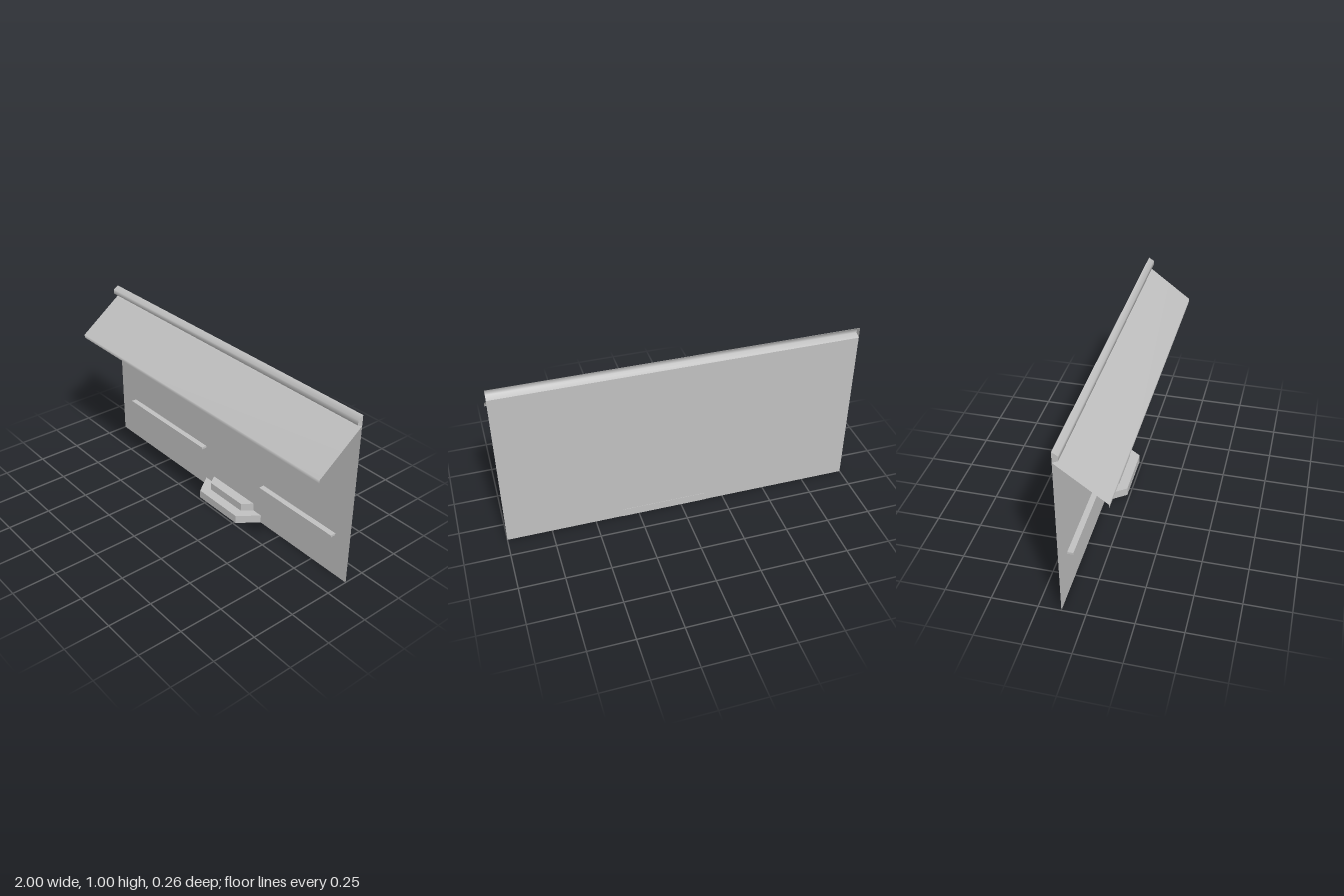
import * as THREE from 'three';

const BACK = -0.128;

export function createModel() {
  const model = new THREE.Group();
  const grey = new THREE.MeshStandardMaterial({ color: 0xc0c0c0, side: THREE.DoubleSide });
  grey.name = 'plain grey';

  const add = (name, geometry, parent = model) => {
    const mesh = new THREE.Mesh(geometry, grey);
    mesh.name = name;
    parent.add(mesh);
    return mesh;
  };

  // Smooth sheet swept across the full width from a [z, y] profile, top to bottom
  const sheet = (profile) => {
    const positions = [];
    const index = [];
    profile.forEach(([z, y], i) => {
      positions.push(-1, y, z, 1, y, z);
      if (i > 0) {
        const a = 2 * (i - 1);
        index.push(a, a + 2, a + 1, a + 1, a + 2, a + 3);
      }
    });
    const g = new THREE.BufferGeometry();
    g.setAttribute('position', new THREE.Float32BufferAttribute(positions, 3));
    g.setIndex(index);
    g.computeVertexNormals();
    return g;
  };

  // Thin wall panel
  add('wall', sheet([[BACK, 0.94], [BACK, 0]]));

  // Sloping awning with a small hanging lip
  add('awning', sheet([[BACK, 0.94], [0.13, 0.748], [0.13, 0.729]]));

  // Top trim: a trough open at the back, closed at both ends
  const trim = new THREE.Group();
  trim.name = 'topTrim';
  model.add(trim);
  const trimProfile = [[BACK, 1], [-0.098, 0.982], [-0.098, 0.955], [BACK, 0.94]];
  add('trimFace', sheet(trimProfile), trim);
  const endShape = new THREE.Shape(trimProfile.map(([z, y]) => new THREE.Vector2(z, y)));
  for (const side of [-1, 1]) {
    const end = new THREE.ShapeGeometry(endShape).rotateY(-Math.PI / 2);
    if (side > 0) {
      // Turn the winding so this end faces outward
      end.index.array.reverse();
      end.computeVertexNormals();
    }
    end.translate(side, 0, 0);
    add(side > 0 ? 'leftTrimEnd' : 'rightTrimEnd', end, trim);
  }

  // Two narrow ledges on the wall
  const ledge = (name, x0, x1, y0, y1) => {
    const g = new THREE.BoxGeometry(x1 - x0, y1 - y0, 0.032);
    add(name, g.translate((x0 + x1) / 2, (y0 + y1) / 2, BACK + 0.016));
  };
  ledge('rightLedge', -0.86, -0.145, 0.258, 0.27);
  ledge('leftLedge', 0.355, 0.9, 0.247, 0.259);

  // Door steps, narrowing towards the front
  const step = (name, x0, x1, taper, z0, z1, y0, y1) => {
    const plan = new THREE.Shape();
    plan.moveTo(x0, -z0);
    plan.lineTo(x0 + taper, -z1);
    plan.lineTo(x1 - taper, -z1);
    plan.lineTo(x1, -z0);
    plan.closePath();
    const g = new THREE.ExtrudeGeometry(plan, { depth: y1 - y0, bevelEnabled: false });
    add(name, g.rotateX(-Math.PI / 2).translate(0, y0, 0));
  };
  step('lowerStep', -0.145, 0.345, 0.085, -0.13, -0.014, 0, 0.048);
  step('upperStep', -0.072, 0.28, 0.042, BACK, -0.07, 0.048, 0.094);

  return model;
}
